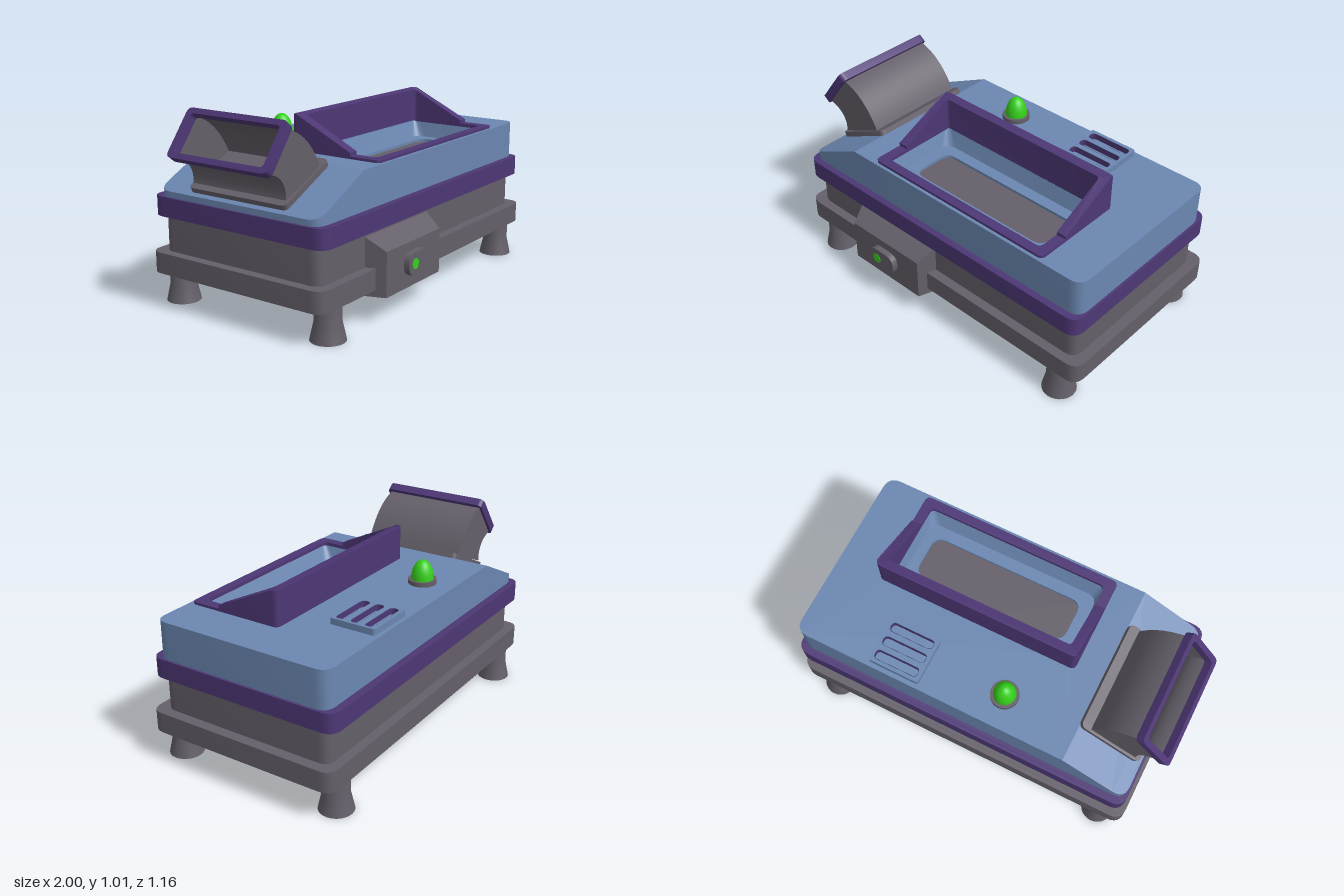
import * as THREE from 'three';
import { toCreasedNormals } from 'three/addons/utils/BufferGeometryUtils.js';

const mat = (name, color, extra = {}) => Object.assign(new THREE.MeshStandardMaterial({ color, ...extra }), { name });

// Closed outline through [x, z, cornerRadius] points, drawn in plan
function outline(points, Type = THREE.Shape) {
  const path = new Type();
  const n = points.length;
  points.forEach(([x, z, r = 0], i) => {
    const p = new THREE.Vector2(x, -z);
    const toward = ([qx, qz]) => new THREE.Vector2(qx, -qz).sub(p).setLength(r).add(p);
    const a = r ? toward(points[(i + n - 1) % n]) : p;
    if (i === 0) path.moveTo(a.x, a.y); else path.lineTo(a.x, a.y);
    if (r) {
      const b = toward(points[(i + 1) % n]);
      path.quadraticCurveTo(p.x, p.y, b.x, b.y);
    }
  });
  path.closePath();
  return path;
}

const rect = (x0, x1, z0, z1, r) => [[x0, z1, r], [x1, z1, r], [x1, z0, r], [x0, z0, r]];
const inset = (x0, x1, z0, z1, r, d) => rect(x0 + d, x1 - d, z0 + d, z1 - d, Math.max(r - d, 0.03));

// Plan outline raised from bottom to top; top and bottom are heights or rules of (x, z)
function slab(points, bottom, top, holes = []) {
  const shape = outline(points);
  holes.forEach((h) => shape.holes.push(outline(h, THREE.Path)));
  const geo = new THREE.ExtrudeGeometry(shape, { depth: 1, bevelEnabled: false, curveSegments: 6 });
  geo.rotateX(-Math.PI / 2);
  const pos = geo.attributes.position;
  const at = (f, x, z) => (typeof f === 'function' ? f(x, z) : f);
  for (let i = 0; i < pos.count; i++) {
    const x = pos.getX(i), z = pos.getZ(i);
    pos.setY(i, at(pos.getY(i) > 0.5 ? top : bottom, x, z));
  }
  geo.computeVertexNormals();
  return toCreasedNormals(geo, 0.5);
}

// Open sheet through closed rings of [x, y, z] points
function loft(rings) {
  const n = rings[0].length, faces = [];
  for (let i = 0; i < rings.length - 1; i++) for (let k = 0; k < n; k++) {
    const a = i * n + k, b = i * n + (k + 1) % n;
    faces.push(a, a + n, b, b, a + n, b + n);
  }
  const geo = new THREE.BufferGeometry();
  geo.setAttribute('position', new THREE.Float32BufferAttribute(rings.flat(2), 3));
  geo.setIndex(faces);
  return toCreasedNormals(geo, 0.5);
}
const planRing = (points, y) => outline(points).getPoints(6).slice(0, -1).map((p) => [p.x, y, -p.y]);

export function createModel() {
  const model = new THREE.Group();
  model.name = 'machine';
  const sheet = { side: THREE.DoubleSide };
  const blue = mat('blue casing', 0x6b87b1, sheet);
  const grey = mat('dark grey', 0x645f69, sheet);
  const purple = mat('purple trim', 0x4d3775, sheet);
  const green = mat('green light', 0x36cf1c);

  const add = (name, geo, material, x = 0, y = 0, z = 0) => {
    const mesh = new THREE.Mesh(geo, material);
    mesh.name = name;
    mesh.position.set(x, y, z);
    model.add(mesh);
    return mesh;
  };
  const ring = (name, material, x0, x1, z0, z1, y0, y1, r, wall) =>
    add(name, slab(rect(x0, x1, z0, z1, r), y0, y1, [inset(x0, x1, z0, z1, r, wall)]), material);

  // Flared feet, open underneath
  const foot = new THREE.LatheGeometry(
    [[0.087, 0], [0.067, 0.09], [0.065, 0.18], [0, 0.18]].map((p) => new THREE.Vector2(...p)), 28);
  for (const x of [-0.765, 0.85]) for (const z of [-0.492, 0.42]) add('foot', toCreasedNormals(foot, 0.5), grey, x, 0, z);

  // Thin-walled base skirt with a ledge, then the body wall and trim band
  ring('baseSkirt', grey, -0.91, 1.0, -0.565, 0.495, 0.173, 0.28, 0.07, 0.008);
  ring('baseLedge', grey, -0.905, 0.995, -0.56, 0.49, 0.272, 0.28, 0.07, 0.06);
  ring('bodyWall', grey, -0.86, 0.945, -0.515, 0.445, 0.272, 0.46, 0.06, 0.01);
  add('trimBand', slab(rect(-0.887, 0.975, -0.562, 0.49, 0.07), 0.46, 0.56,
    [rect(-0.8, 0.89, -0.42, 0.35, 0.05)]), purple);

  // Hollow blue casing, with its left end sloping down
  const [xl, xm, xr, zb, zf, w, r] = [-0.875, -0.53, 0.963, -0.523, 0.455, 0.012, 0.07];
  const slope = (x) => 0.59 + (x - xl) * 0.478;
  const uWall = (xe, s) => [
    [xm, zf], [xe, zf, r], [xe, zb, r], [xm, zb],
    [xm, zb + w], [xe + s * w, zb + w, 0.06], [xe + s * w, zf - w, 0.06], [xm, zf - w]];
  const half = (xe) => [[xm, zf], [xe, zf, r], [xe, zb, r], [xm, zb]];
  const opening = rect(-0.335, 0.675, -0.033, 0.39, 0.03);
  add('casingWall', slab(uWall(xr, -1), 0.56, 0.75), blue);
  add('casingSlopeWall', slab(uWall(xl, 1), 0.56, (x) => slope(x) - 0.005), blue);
  add('casingTop', slab(half(xr), 0.745, 0.755, [opening]), blue);
  add('casingSlope', slab(half(xl), (x) => slope(x) - 0.012, slope), blue);
  add('innerPlate', slab(rect(-0.45, 0.93, -0.5, 0.43, 0.03), 0.6, 0.61), grey);

  // Sunken tray with leaning walls
  const trayFloor = rect(-0.315, 0.655, -0.008, 0.355, 0.06);
  add('trayWall', loft([planRing(opening, 0.752), planRing(trayFloor, 0.67)]), blue);
  add('trayLedge', slab(trayFloor, 0.655, 0.67, [rect(-0.255, 0.6, 0.055, 0.29, 0.06)]), blue);

  // Hood around the tray: high back, sloping cheeks and a low front lip
  const [hl, hr, hb, hm, hf] = [-0.385, 0.723, -0.083, 0.27, 0.438];
  const hoodTop = (x, z) => Math.min(0.937, 0.785 + (hm - z) * 0.485);
  add('hood', slab([
    [hl, hm], [hl + 0.053, hm], [hl + 0.053, hb + 0.05, 0.02], [hr - 0.053, hb + 0.05, 0.02],
    [hr - 0.053, hm], [hr, hm], [hr, hb, 0.03], [hl, hb, 0.03]], 0.75, hoodTop), purple);
  add('hoodLip', slab([
    [hl, hm], [hl, hf, 0.03], [hr, hf, 0.03], [hr, hm],
    [hr - 0.053, hm], [hr - 0.053, hf - 0.05, 0.03], [hl + 0.053, hf - 0.05, 0.03], [hl + 0.053, hm]],
    0.75, 0.768), purple);

  // Vent with dark-lined slots
  const slots = [-0.455, -0.375, -0.295].map((z) => rect(0.292, 0.535, z - 0.026, z + 0.026, 0.024));
  add('vent', slab(rect(0.273, 0.55, -0.5, -0.253, 0.015), 0.75, 0.788, slots), blue);
  for (const z of [-0.455, -0.375, -0.295]) {
    const lining = rect(0.294, 0.533, z - 0.024, z + 0.024, 0.023);
    add('slotLining', loft([planRing(lining, 0.754), planRing(lining, 0.787)]), purple);
  }

  // Signal light
  add('lightBase', new THREE.CylinderGeometry(0.073, 0.073, 0.03, 32), grey, -0.135, 0.763, -0.355);
  const dome = [];
  for (let i = 0; i <= 10; i++) {
    const a = (i / 10) * Math.PI / 2;
    dome.push(new THREE.Vector2(0.058 * Math.cos(a), 0.1 * Math.sin(a)));
  }
  add('lightDome', new THREE.LatheGeometry(dome, 28), green, -0.135, 0.778, -0.355);

  // Chute flange, curved duct and mouth
  const flange = add('chuteFlange', slab(rect(-0.18, 0.18, -0.297, 0.297, 0.03), -0.02, 0.015), grey, -0.695, 0.69, -0.038);
  flange.rotation.z = 0.446;
  const v2 = (x, y) => new THREE.Vector2(x, y);
  const outer = new THREE.QuadraticBezierCurve(v2(-0.585, 0.75), v2(-0.672, 0.93), v2(-0.83, 0.967));
  const inner = new THREE.QuadraticBezierCurve(v2(-0.84, 0.645), v2(-0.83, 0.7525), v2(-0.95, 0.785));
  const rings = [];
  for (let i = 0; i <= 14; i++) {
    const o = outer.getPoint(i / 14), n = inner.getPoint(i / 14);
    rings.push([[o.x, o.y, -0.322], [o.x, o.y, 0.246], [n.x, n.y, 0.246], [n.x, n.y, -0.322]]);
  }
  add('chuteDuct', loft(rings), grey);
  const mouth = add('chuteMouth', slab(rect(-0.133, 0.133, -0.302, 0.302, 0.03), -0.022, 0.022,
    [rect(-0.104, 0.104, -0.27, 0.27, 0.02)]), purple, -0.9, 0.89, -0.036);
  mouth.rotation.z = 0.913;

  // Control box, narrowing toward its face
  const profile = new THREE.Shape([v2(0.44, 0.138), v2(0.545, 0.138), v2(0.545, 0.365), v2(0.44, 0.432)]);
  const box = new THREE.ExtrudeGeometry(profile, { depth: 0.548, bevelEnabled: false });
  box.translate(0, 0, -0.274).rotateY(-Math.PI / 2);
  const pos = box.attributes.position;
  for (let i = 0; i < pos.count; i++) if (pos.getZ(i) > 0.5) pos.setX(i, pos.getX(i) * 0.87);
  box.computeVertexNormals();
  add('controlBox', box, grey, -0.2365, 0, 0);

  // Pill-shaped button with a small lamp
  const button = slab(rect(-0.088, 0.088, -0.06, 0.06, 0.058), 0, 0.035);
  add('button', button, grey, -0.238, 0.26, 0.542).rotation.x = Math.PI / 2;
  const lamp = new THREE.CylinderGeometry(0.027, 0.027, 0.004, 24);
  add('buttonLamp', lamp, green, -0.272, 0.26, 0.577).rotation.x = Math.PI / 2;

  return model;
}
